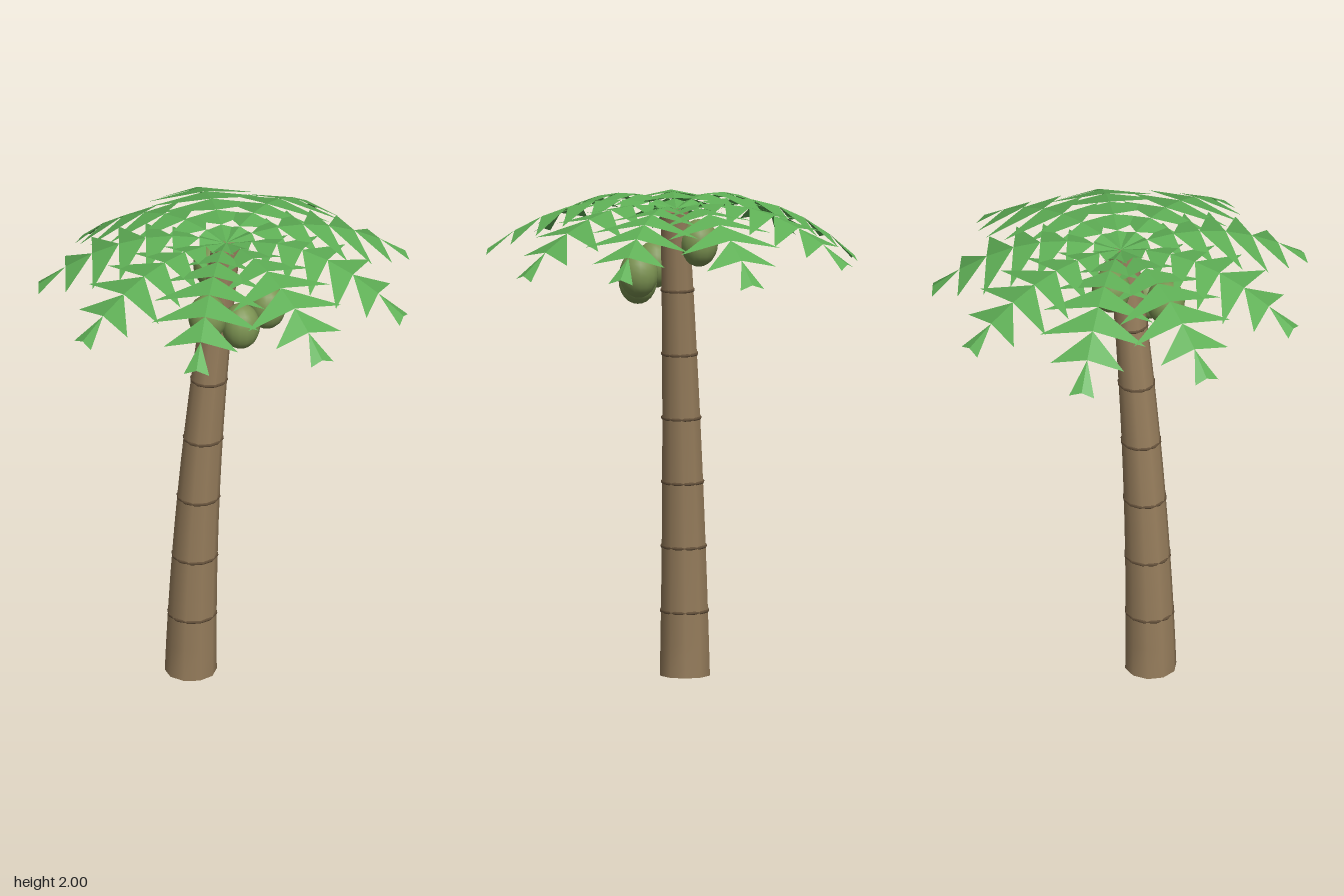
import * as THREE from 'three';

const trunkHeight = 1.955;
const crown = new THREE.Vector3(-0.02, 0, 0.002);

// Leaning trunk: centre line and radius by height
const trunkX = (y) => -0.179 + 0.03 * (y / trunkHeight) + 0.125 * (y / trunkHeight) ** 2;
const trunkZ = 0.01;
const trunkRadius = (y) => 0.107 - 0.024 * y;

function mat(name, color) {
  const m = new THREE.MeshStandardMaterial({ color });
  m.name = name;
  return m;
}

function part(name, geometry, material) {
  const mesh = new THREE.Mesh(geometry, material);
  mesh.name = name;
  return mesh;
}

// Ten-sided cylinder, tapered and bent along the centre line
function trunkGeometry() {
  const g = new THREE.CylinderGeometry(1, 1, trunkHeight, 10, 14);
  g.translate(0, trunkHeight / 2, 0);
  const p = g.attributes.position;
  for (let i = 0; i < p.count; i++) {
    const y = p.getY(i), r = trunkRadius(y);
    p.setXYZ(i, trunkX(y) + p.getX(i) * r, y, trunkZ + p.getZ(i) * r);
  }
  g.computeVertexNormals();
  return g;
}

// Frond: a ridged chain of triangles with drooping corners, each pointing at the crown
function frondGeometry(degrees, length, tipY) {
  const halfWidths = [0.05, 0.14, 0.21, 0.232, 0.223, 0.155, 0.053];
  const n = halfWidths.length, peak = 2 / 7, peakY = 2;
  const a = THREE.MathUtils.degToRad(degrees);
  const out = new THREE.Vector3(Math.cos(a), 0, Math.sin(a));
  const side = new THREE.Vector3(-Math.sin(a), 0, Math.cos(a));
  const bend = (peakY - tipY) / (1 - peak) ** 2;
  const spine = (k) => {
    const t = k / n;
    const v = crown.clone().addScaledVector(out, t * length);
    v.y = peakY - bend * (t - peak) ** 2;
    return v;
  };
  const points = [];
  halfWidths.forEach((w, k) => {
    const apex = spine(k), mid = spine(k + 1);
    const corner = (s) => {
      const v = mid.clone().addScaledVector(side, s * w);
      v.y -= 0.01 + w * 0.16;
      return v;
    };
    points.push(apex, corner(1), mid, apex, mid, corner(-1));
  });
  const g = new THREE.BufferGeometry().setFromPoints(points);
  g.computeVertexNormals();
  return g;
}

export function createModel() {
  const bark = mat('bark', 0x967d5c);
  const darkBark = mat('dark bark', 0x66523b);
  const husk = mat('green husk', 0x7c9352);
  const leaf = mat('leaf green', 0x5fb056);
  leaf.side = THREE.DoubleSide;

  const tree = new THREE.Group();
  tree.name = 'palmTree';
  tree.add(part('trunk', trunkGeometry(), bark));

  // Thin growth rings, half sunk into the bark
  for (let i = 1; i <= 6; i++) {
    const y = i * 0.27, r = trunkRadius(y) * 0.97;
    const ring = part('trunkRing' + i, new THREE.TorusGeometry(r, 0.007, 5, 12), darkBark);
    ring.rotation.x = Math.PI / 2;
    ring.position.set(trunkX(y), y, trunkZ);
    tree.add(ring);
  }

  // Nuts hanging under the crown
  const nuts = [[-0.15, 1.708, 0.13], [-0.018, 1.66, 0.165], [0.112, 1.708, 0.125], [-0.047, 1.822, -0.087]];
  nuts.forEach((position, i) => {
    const nut = part('coconut' + (i + 1), new THREE.SphereGeometry(0.08, 16, 12), husk);
    nut.scale.y = 1.23;
    nut.position.set(...position);
    tree.add(nut);
  });

  // Nine fronds: angle, length, tip height
  const fronds = [
    [1.2, 0.78, 1.787], [38.9, 0.768, 1.755], [80.2, 0.78, 1.785],
    [119.5, 0.79, 1.795], [160.5, 0.772, 1.777], [200, 0.772, 1.777],
    [239.5, 0.758, 1.74], [280, 0.782, 1.787], [320.3, 0.776, 1.76],
  ];
  fronds.forEach((f, i) => tree.add(part('frond' + (i + 1), frondGeometry(...f), leaf)));
  return tree;
}
